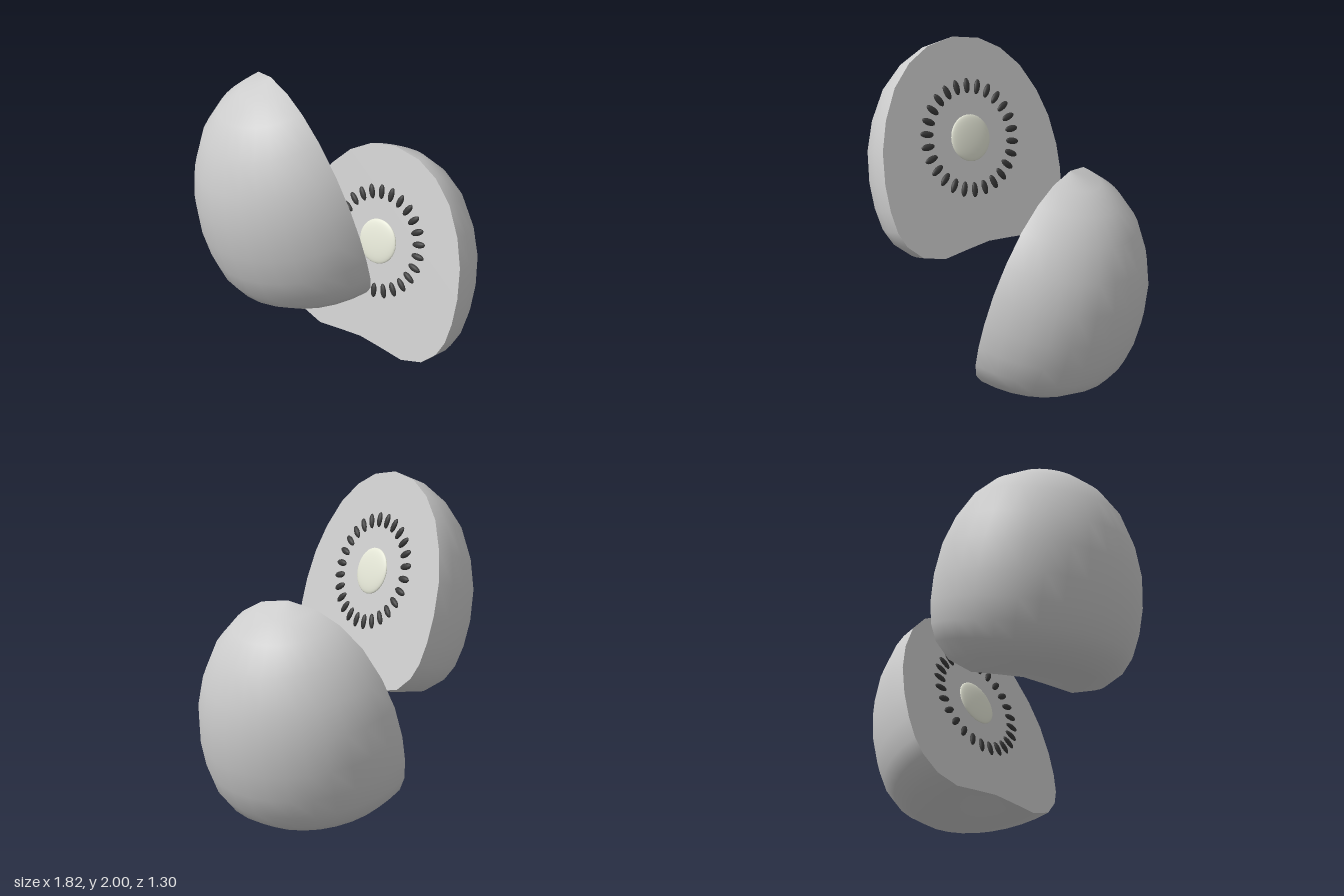
import * as THREE from 'three';

const skinMat = new THREE.MeshStandardMaterial({ name: 'grey flesh and skin', color: 0xcccccc });
const coreMat = new THREE.MeshStandardMaterial({ name: 'cream core', color: 0xe6e8d8 });
const seedMat = new THREE.MeshStandardMaterial({ name: 'dark seed', color: 0x383838 });

// Fruit outline (radius, height) from the dented base to the tip
const profile = [
  [0, -0.645], [0.17, -0.66], [0.34, -0.678], [0.49, -0.635], [0.585, -0.545],
  [0.63, -0.45], [0.652, -0.32], [0.655, -0.16], [0.63, 0.03], [0.57, 0.205],
  [0.47, 0.38], [0.34, 0.507], [0.19, 0.587], [0, 0.62],
].map(([r, y]) => new THREE.Vector2(r, y));

function part(geometry, material, name) {
  const mesh = new THREE.Mesh(geometry, material);
  mesh.name = name;
  return mesh;
}

// Half fruit whose rounded body points to side (+1 or -1) along x, cut at x = 0
function fruitHalf(side) {
  const half = new THREE.Group();

  // Rounded skin: half a turn of the outline
  const skin = new THREE.LatheGeometry(profile, 16, side > 0 ? 0 : Math.PI, Math.PI);
  half.add(part(skin, skinMat, 'skin'));

  // Flat cut face: the outline and its mirror image
  const mirrored = profile.slice(1, -1).reverse().map((p) => new THREE.Vector2(-p.x, p.y));
  const face = new THREE.ShapeGeometry(new THREE.Shape([...profile, ...mirrored]));
  face.rotateY(-side * Math.PI / 2);
  half.add(part(face, skinMat, 'cutFace'));

  // Slightly domed core
  const core = part(new THREE.SphereGeometry(1, 32, 16), coreMat, 'core');
  core.scale.set(0.022, 0.143, 0.143);
  half.add(core);

  // Ring of seeds pointing at the core
  const seeds = new THREE.Group();
  seeds.name = 'seeds';
  const seedGeometry = new THREE.SphereGeometry(1, 12, 8);
  const count = 26;
  for (let i = 0; i < count; i++) {
    const a = (i + 0.5) / count * Math.PI * 2;
    const seed = part(seedGeometry, seedMat, 'seed');
    seed.scale.set(0.016, 0.047, 0.021);
    seed.position.set(0, 0.317 * Math.cos(a), 0.317 * Math.sin(a));
    seed.rotation.x = a;
    seeds.add(seed);
  }
  half.add(seeds);
  return half;
}

export function createModel() {
  const model = new THREE.Group();
  model.name = 'halvedFruit';

  const right = fruitHalf(-1);
  right.name = 'upperRightHalf';
  right.position.set(-0.3, 1.405, 0);
  right.rotation.set(0, -0.19, 0.28);

  const left = fruitHalf(1);
  left.name = 'lowerLeftHalf';
  left.position.set(0.29, 0.745, 0);
  left.rotation.set(0, 0.19, -0.255);

  model.add(right, left);
  return model;
}
